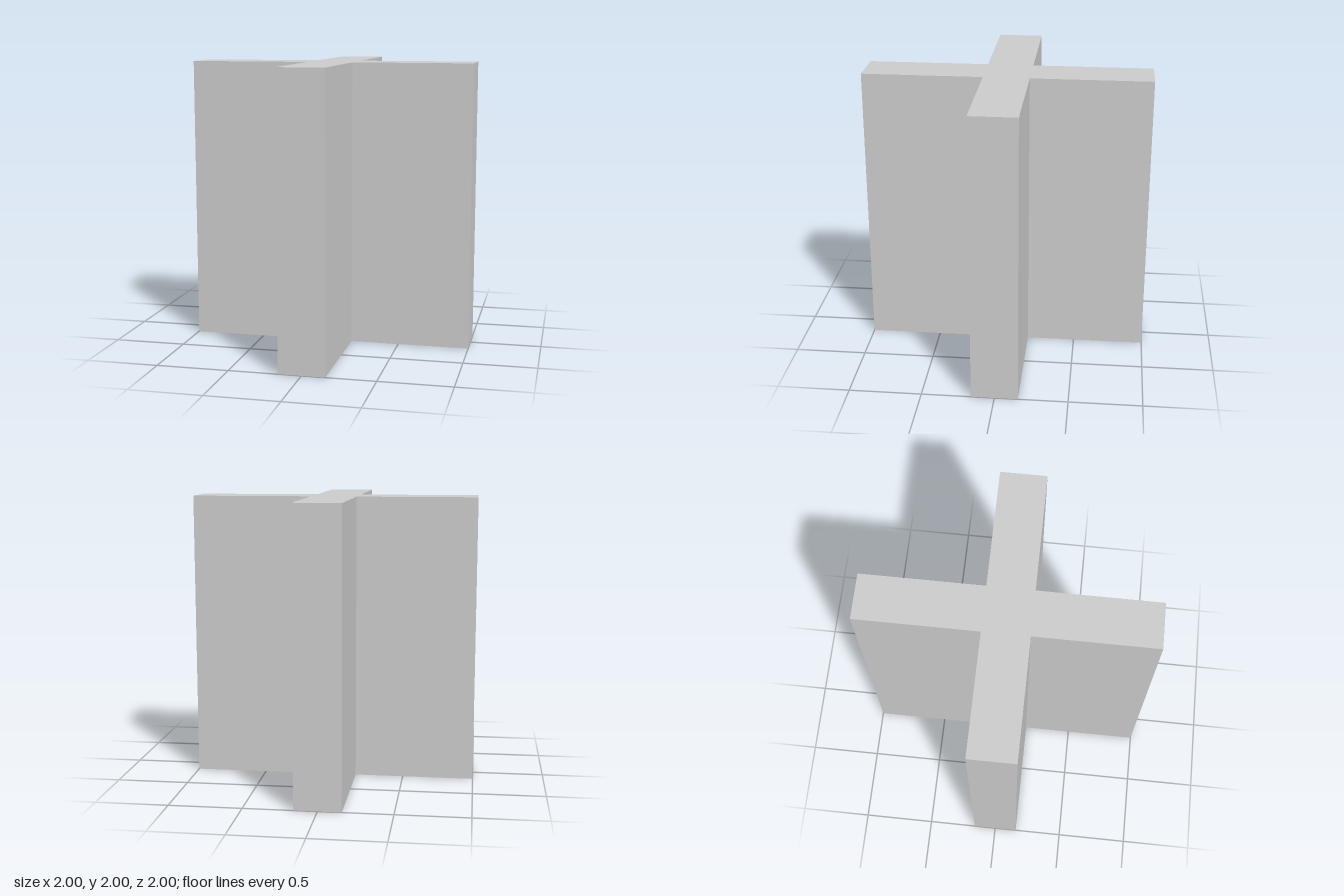
import * as THREE from 'three';

const HALF_SPAN = 1; // centre to arm tip
const HALF_ARM = 0.16; // half the arm thickness
const HEIGHT = 2;

// Plus-shaped outline: three corners per arm, turned through four quarters
function crossShape() {
  const points = [];
  for (let i = 0; i < 4; i++) {
    const angle = (i * Math.PI) / 2;
    for (const [x, y] of [[HALF_SPAN, -HALF_ARM], [HALF_SPAN, HALF_ARM], [HALF_ARM, HALF_ARM]]) {
      points.push(new THREE.Vector2(x, y).rotateAround(new THREE.Vector2(), angle));
    }
  }
  return new THREE.Shape(points);
}

export function createModel() {
  const group = new THREE.Group();
  group.name = 'crossColumn';

  // Solid column extruded upwards from the ground
  const geometry = new THREE.ExtrudeGeometry(crossShape(), { depth: HEIGHT, bevelEnabled: false });
  geometry.rotateX(-Math.PI / 2);
  const material = new THREE.MeshStandardMaterial({ color: 0xcccccc, flatShading: true });
  const column = new THREE.Mesh(geometry, material);
  column.name = 'column';
  group.add(column);

  return group;
}
